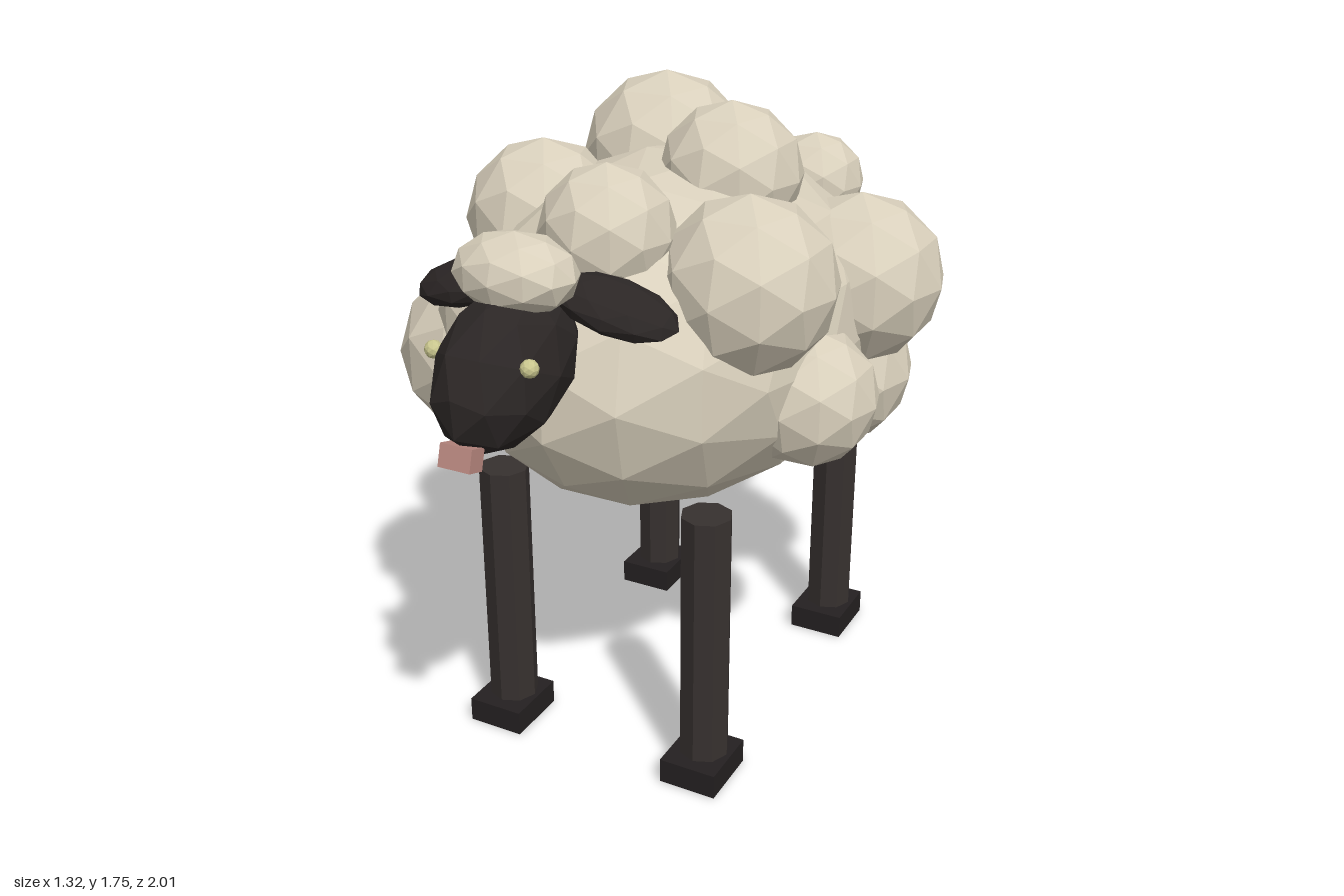
import * as THREE from 'three';

const mat = (color) => new THREE.MeshStandardMaterial({ color, flatShading: true });

export function createModel() {
  const sheep = new THREE.Group();
  sheep.name = 'sheep';

  const wool = mat(0xd9d0bc);
  const skin = mat(0x2b2625);
  const legMat = mat(0x37312f);
  const hoofMat = mat(0x242021);
  const eyeMat = mat(0xc9c68e);
  const tongueMat = mat(0xb98880);
  const cx = -0.008; // symmetry plane of head, trunk and legs

  const add = (name, geometry, material, x, y, z) => {
    const mesh = new THREE.Mesh(geometry, material);
    mesh.name = name;
    mesh.position.set(x, y, z);
    sheep.add(mesh);
    return mesh;
  };

  // Faceted ellipsoid
  const blob = (name, material, [x, y, z], [rx, ry, rz], detail = 1) =>
    add(name, new THREE.IcosahedronGeometry(1, detail).scale(rx, ry, rz), material, x, y, z);

  // Trunk
  blob('body', wool, [cx, 1.13, -0.09], [0.52, 0.475, 0.75], 2);

  // Wool puffs: x, y, z, radius
  const puffs = [
    [-0.18, 1.515, -0.335, 0.24], [0.137, 1.55, -0.095, 0.195],
    [-0.385, 1.39, 0.0, 0.22], [0.34, 1.37, 0.225, 0.23],
    [0.42, 1.24, -0.33, 0.24], [0.44, 1.03, 0.055, 0.188],
    [0.31, 0.9, -0.48, 0.228], [-0.415, 1.075, 0.25, 0.248],
    [-0.44, 1.22, -0.36, 0.22], [0.21, 1.445, -0.505, 0.14],
    [-0.13, 1.33, -0.71, 0.155], [0.13, 1.11, -0.74, 0.192],
    [-0.28, 0.94, -0.63, 0.15], [0.012, 1.49, 0.345, 0.175],
    [-0.24, 1.285, 0.45, 0.158],
  ];
  for (const [x, y, z, r] of puffs) blob('woolPuff', wool, [x, y, z], [r, r, r]);
  blob('tail', wool, [-0.012, 1.183, -0.885, ], [0.113, 0.117, 0.117]);

  // Head, tilted nose down, with a wool cap and tongue
  blob('head', skin, [cx, 1.29, 0.78], [0.145, 0.172, 0.238]).rotation.x = 0.44;
  blob('woolCap', wool, [cx, 1.495, 0.725], [0.157, 0.097, 0.117]);
  add('tongue', new THREE.BoxGeometry(0.085, 0.055, 0.05), tongueMat, cx, 1.14, 0.972).rotation.x = -0.28;

  for (const side of [-1, 1]) {
    // Ears and eyes
    blob('ear', skin, [cx + side * 0.2, 1.415, 0.627], [0.16, 0.047, 0.082])
      .rotation.set(0.42, 0, side * -0.27);
    blob('eye', eyeMat, [cx + side * 0.127, 1.34, 0.877], [0.022, 0.022, 0.022]);

    // Legs and hooves
    for (const [legZ, hoofZ] of [[0.363, 0.375], [-0.54, -0.528]]) {
      const x = cx + side * 0.308;
      add('leg', new THREE.CylinderGeometry(0.069, 0.069, 0.73, 8), legMat, x, 0.425, legZ);
      add('hoof', new THREE.BoxGeometry(0.163, 0.07, 0.186), hoofMat, x, 0.035, hoofZ);
    }
  }
  return sheep;
}
